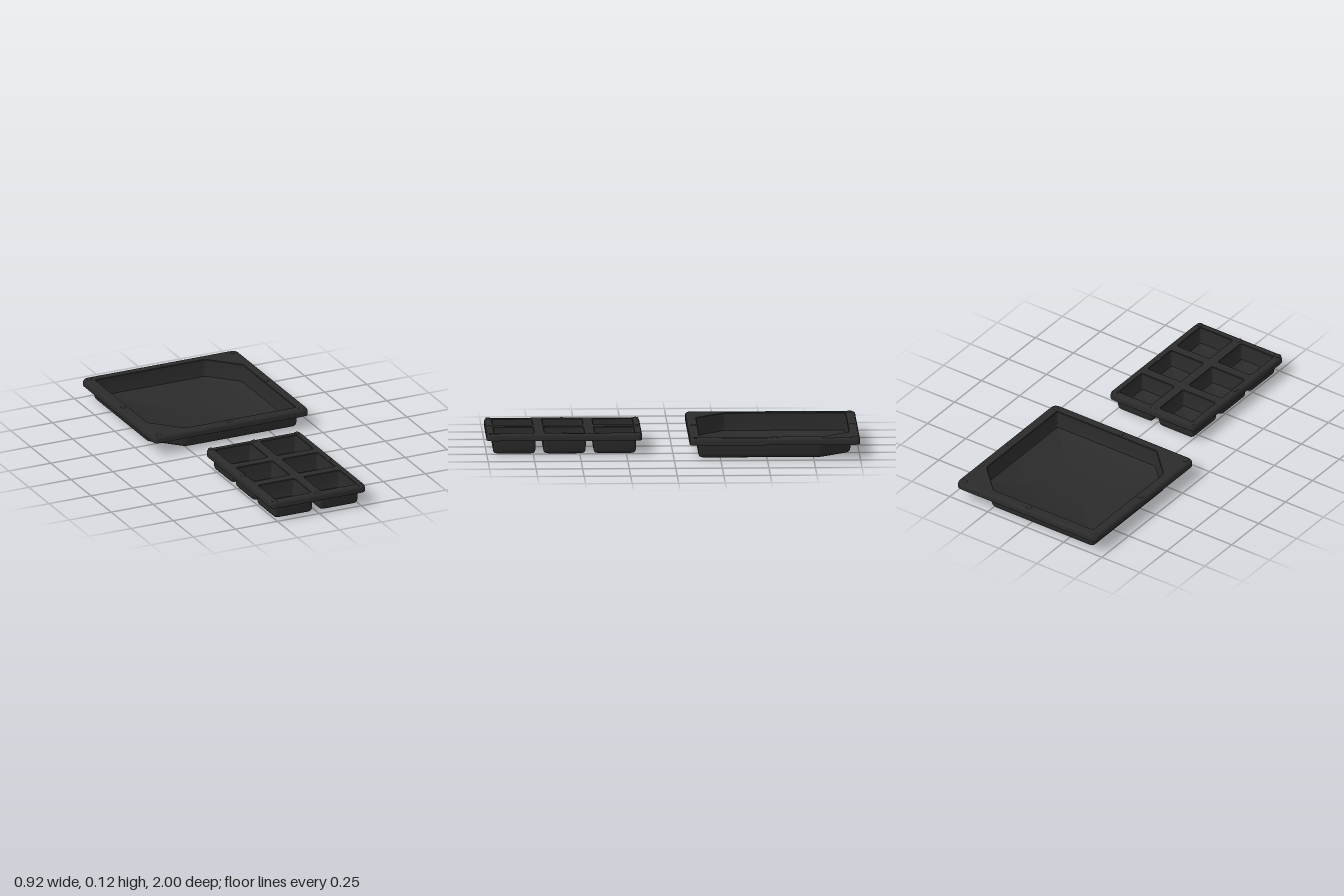
import * as THREE from 'three';
import { toCreasedNormals } from 'three/addons/utils/BufferGeometryUtils.js';

const rect = (x0, x1, z0, z1) => [[x0, z0], [x1, z0], [x1, z1], [x0, z1]];

// Convex outline in (x, z), moved inward by inset, corners rounded by cut length r
function outline(poly, inset, r) {
  const n = poly.length;
  const P = poly.map(p => new THREE.Vector2(...p));
  const edges = P.map((p, i) => {
    const d = P[(i + 1) % n].clone().sub(p).normalize();
    return { d, p: p.clone().add(new THREE.Vector2(-d.y, d.x).multiplyScalar(inset)) };
  });
  const corners = edges.map((e, i) => {
    const f = edges[(i + n - 1) % n];
    const t = e.p.clone().sub(f.p).cross(e.d) / f.d.cross(e.d);
    return f.p.clone().addScaledVector(f.d, t);
  });
  return corners.flatMap((c, i) => {
    const a = c.clone().addScaledVector(edges[(i + n - 1) % n].d, -r);
    const b = c.clone().addScaledVector(edges[i].d, r);
    return new THREE.QuadraticBezierCurve(a, c, b).getPoints(5);
  });
}

// Skin through rows of [inset, y, cornerRound]; a null inset closes to the centre
function loft(poly, rows) {
  const pos = [], idx = [];
  const cx = poly.reduce((s, p) => s + p[0], 0) / poly.length;
  const cz = poly.reduce((s, p) => s + p[1], 0) / poly.length;
  const n = poly.length * 6;
  rows.forEach(([inset, y, r], i) => {
    if (inset === null) for (let j = 0; j < n; j++) pos.push(cx, y, cz);
    else outline(poly, inset, r).forEach(p => pos.push(p.x, y, p.y));
    if (i === rows.length - 1) return;
    for (let j = 0; j < n; j++) {
      const a = i * n + j, b = i * n + (j + 1) % n;
      if (rows[i + 1][0] !== null) idx.push(b, a + n, b + n);
      if (rows[i][0] !== null) idx.push(a, a + n, b);
      else idx.push(b, a + n, b + n);
    }
  });
  const g = new THREE.BufferGeometry();
  g.setAttribute('position', new THREE.Float32BufferAttribute(pos, 3));
  g.setIndex(idx);
  return toCreasedNormals(g, 0.6);
}

// Flat sheet with holes, facing up or down
function sheet(outer, holes, y, up) {
  const s = up ? -1 : 1;
  const flip = pts => pts.map(p => new THREE.Vector2(p.x, s * p.y));
  const shape = new THREE.Shape(flip(outer));
  holes.forEach(h => shape.holes.push(new THREE.Path(flip(h))));
  return new THREE.ShapeGeometry(shape).rotateX(s * Math.PI / 2).translate(0, y, 0);
}

const TOP = 0.113, UNDER = 0.1, SKIRT = 0.076, WALL = 0.01, CORNER = 0.012;

function makeTray(name, rim, wells, nubs, material) {
  const tray = new THREE.Group();
  tray.name = name;
  const add = (part, geometry) => {
    const mesh = new THREE.Mesh(geometry, material);
    mesh.name = part;
    tray.add(mesh);
    return mesh;
  };

  // Rim: hanging skirt with a rounded shoulder, then its top and underside
  add('rimSkirt', loft(rim, [
    [0.012, UNDER, 0.025], [0.012, SKIRT, 0.025], [0, SKIRT, 0.035], [0, 0.098, 0.035],
    [0.0015, 0.105, 0.035], [0.005, 0.11, 0.034], [0.012, TOP, 0.03]]));
  add('rimTop', sheet(outline(rim, 0.012, 0.03),
    wells.map(w => outline(w, -0.003, CORNER)), TOP, true));
  add('rimUnderside', sheet(outline(rim, 0.012, 0.025),
    wells.map(w => outline(w, -WALL, 0.02)), UNDER, false));

  // Wells: outer shell with rounded base, and the hollow inside
  wells.forEach(w => {
    add('wellOutside', loft(w, [
      [null, 0], [0.012, 0, 0.02], [0.001, 0.004, 0.02], [-0.005, 0.011, 0.02],
      [-0.008, 0.022, 0.02], [-WALL, UNDER, 0.02]]));
    add('wellInside', loft(w, [
      [-0.003, TOP, CORNER], [0, 0.11, CORNER], [0.004, 0.028, CORNER],
      [0.007, 0.018, CORNER], [0.016, 0.012, CORNER], [null, 0.012]]));
  });

  // Low stacking nubs on the rim
  const dome = new THREE.SphereGeometry(0.017, 16, 5, 0, Math.PI * 2, 0, Math.PI / 2);
  nubs.forEach(([x, z]) => {
    const nub = add('stackingNub', dome);
    nub.scale.y = 0.28;
    nub.position.set(x, TOP - 0.0005, z);
  });
  return tray;
}

// Nubs at the corners and the middle of each side
function nubRing(x, z0, z1) {
  const zm = (z0 + z1) / 2;
  return [[-x, z0], [0, z0], [x, z0], [-x, zm], [x, zm], [-x, z1], [0, z1], [x, z1]];
}

export function createModel() {
  const model = new THREE.Group();
  model.name = 'trays';
  const plastic = new THREE.MeshStandardMaterial({ color: 0x2b2b2b });
  plastic.name = 'black plastic';

  // Large drip tray with two cut corners
  const basin = [[-0.403, -0.945], [0.25, -0.945], [0.403, -0.792],
    [0.403, -0.14], [-0.25, -0.14], [-0.403, -0.293]];
  model.add(makeTray('largeTray', rect(-0.46, 0.46, -1, -0.085), [basin],
    nubRing(0.427, -0.969, -0.116), plastic));

  // Small tray with six square cells
  const cells = [];
  for (const x of [-0.135, 0.135])
    for (const z of [0.312, 0.582, 0.852])
      cells.push(rect(x - 0.106, x + 0.106, z - 0.106, z + 0.106));
  model.add(makeTray('cellTray', rect(-0.282, 0.282, 0.165, 1), cells,
    nubRing(0.256, 0.187, 0.978), plastic));
  return model;
}
